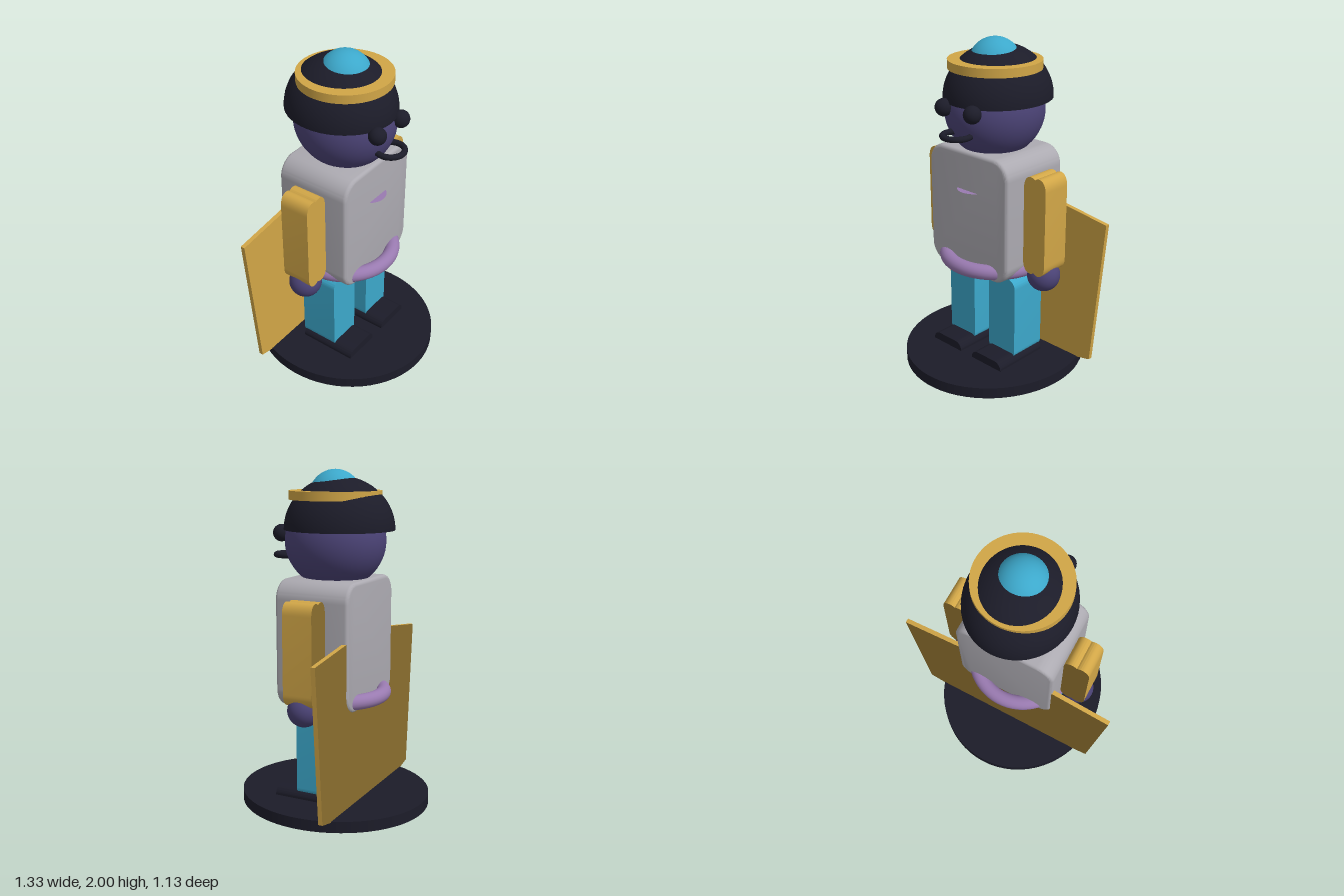
import * as THREE from 'three';
import { toCreasedNormals } from 'three/addons/utils/BufferGeometryUtils.js';

const mat = (name, color, side = THREE.FrontSide) => {
  const m = new THREE.MeshStandardMaterial({ color, side });
  m.name = name;
  return m;
};

// Rounded rectangle in x/y, extruded along z and centred on the origin
function roundedBlock(w, h, d, r, bevel = 0) {
  const x = w / 2 - bevel, y = h / 2 - bevel, k = r - bevel;
  const s = new THREE.Shape();
  s.moveTo(-x + k, -y);
  s.lineTo(x - k, -y);
  s.absarc(x - k, -y + k, k, -Math.PI / 2, 0);
  s.absarc(x - k, y - k, k, 0, Math.PI / 2);
  s.absarc(-x + k, y - k, k, Math.PI / 2, Math.PI);
  s.absarc(-x + k, -y + k, k, Math.PI, Math.PI * 1.5);
  return extrude(s, d, bevel);
}

function extrude(shape, d, bevel = 0) {
  const g = new THREE.ExtrudeGeometry(shape, {
    depth: d - 2 * bevel, curveSegments: 10, bevelEnabled: bevel > 0,
    bevelSize: bevel, bevelThickness: bevel, bevelSegments: 4,
  });
  g.translate(0, 0, -d / 2 + bevel);
  return toCreasedNormals(g, 0.6);
}

// Regroup an unbevelled extrusion: material 0 on the back face, 1 elsewhere
function splitBack(g) {
  const back = g.groups[0].count / 2;
  g.clearGroups();
  g.addGroup(0, back, 0);
  g.addGroup(back, g.attributes.position.count - back, 1);
  return g;
}

// Arm outline: a rounded bar with a shallow notch at both ends
function armGeometry() {
  const w = 0.078, h = 0.29, s = new THREE.Shape();
  s.moveTo(w, -h + 0.07);
  s.lineTo(w, h - 0.07);
  s.bezierCurveTo(w, h - 0.025, 0.055, h, 0.03, h);
  s.quadraticCurveTo(0.012, h, 0, h - 0.012);
  s.quadraticCurveTo(-0.012, h, -0.03, h);
  s.bezierCurveTo(-0.055, h, -w, h - 0.025, -w, h - 0.07);
  s.lineTo(-w, -h + 0.07);
  s.bezierCurveTo(-w, -h + 0.025, -0.055, -h, -0.03, -h);
  s.quadraticCurveTo(-0.012, -h, 0, -h + 0.012);
  s.quadraticCurveTo(0.012, -h, 0.03, -h);
  s.bezierCurveTo(0.055, -h, w, -h + 0.025, w, -h + 0.07);
  return extrude(s, 0.18);
}

export function createModel() {
  const group = new THREE.Group();
  const dark = mat('dark navy', 0x1c1c29, THREE.DoubleSide);
  const gold = mat('gold', 0xd1a647);
  const bronze = mat('bronze', 0x8b6e2e);
  const blue = mat('blue', 0x3ca8cb);
  const grey = mat('grey', 0xacaab1);
  const skin = mat('purple skin', 0x4b4376);
  const lilac = mat('lilac', 0x997ab0, THREE.DoubleSide);

  const add = (name, geometry, material, x = 0, y = 0, z = 0) => {
    const m = new THREE.Mesh(geometry, material);
    m.name = name;
    m.position.set(x, y, z);
    group.add(m);
    return m;
  };

  // Oval stand
  add('stand', new THREE.CylinderGeometry(1, 1, 0.066, 64), dark, 0, 0.079, 0).scale.set(0.526, 1, 0.566);

  // Cape panel with a bronze back, its tip reaching through the stand
  const cape = new THREE.Shape([
    [0, 0], [0.586, 0.128], [0.663, 1.018], [0.28, 1.07], [-0.28, 1.07], [-0.663, 1.018], [-0.586, 0.128],
  ].map(([x, y]) => new THREE.Vector2(x, y)));
  add('cape', splitBack(extrude(cape, 0.026)), [bronze, gold], 0, 0, -0.206);

  // Torso, belt and chest clasp
  add('torso', roundedBlock(0.61, 0.735, 0.454, 0.11, 0.02), grey, 0, 1.025, 0);
  add('belt', new THREE.TorusGeometry(0.285, 0.044, 20, 64), lilac, 0, 0.713, 0).rotation.x = Math.PI / 2;
  add('clasp', new THREE.CircleGeometry(0.1, 40), lilac, 0, 1.165, 0.167).rotation.x = -Math.PI / 2;

  // Limbs and eyes, mirrored
  const arm = splitBack(armGeometry());
  const leg = roundedBlock(0.206, 0.525, 0.233, 0.055);
  const shoe = roundedBlock(0.235, 0.1, 0.357, 0.048);
  const hand = new THREE.SphereGeometry(0.095, 32, 20);
  const eye = new THREE.SphereGeometry(0.05, 24, 16);
  for (const [side, s] of [['left', 1], ['right', -1]]) {
    add(side + 'Arm', arm, [bronze, gold], s * 0.383, 1.01, 0);
    add(side + 'Hand', hand, skin, s * 0.383, 0.691, 0);
    add(side + 'Leg', leg, blue, s * 0.164, 0.381, 0);
    add(side + 'Shoe', shoe, dark, s * 0.164, 0.113, 0.072);
    add(side + 'Eye', eye, dark, s * 0.11, 1.64, 0.29);
  }

  // Head and ring-shaped mouth sunk into the face
  add('head', new THREE.SphereGeometry(1, 48, 32), skin, 0, 1.598, 0).scale.set(0.274, 0.276, 0.294);
  add('mouth', new THREE.TorusGeometry(0.078, 0.017, 14, 40), dark, 0, 1.505, 0.301).rotation.x = Math.PI / 2;

  // Helmet with band and top gem
  const dome = new THREE.SphereGeometry(1, 48, 20, 0, Math.PI * 2, 0, Math.PI / 2);
  add('helmet', dome, dark, 0, 1.662, -0.025).scale.set(0.301, 0.3, 0.321);
  add('helmetBand', new THREE.CylinderGeometry(0.265, 0.265, 0.05, 64), gold, 0, 1.856, 0);
  add('helmetGem', new THREE.SphereGeometry(0.15, 40, 24), blue, 0, 1.85, 0);

  return group;
}
